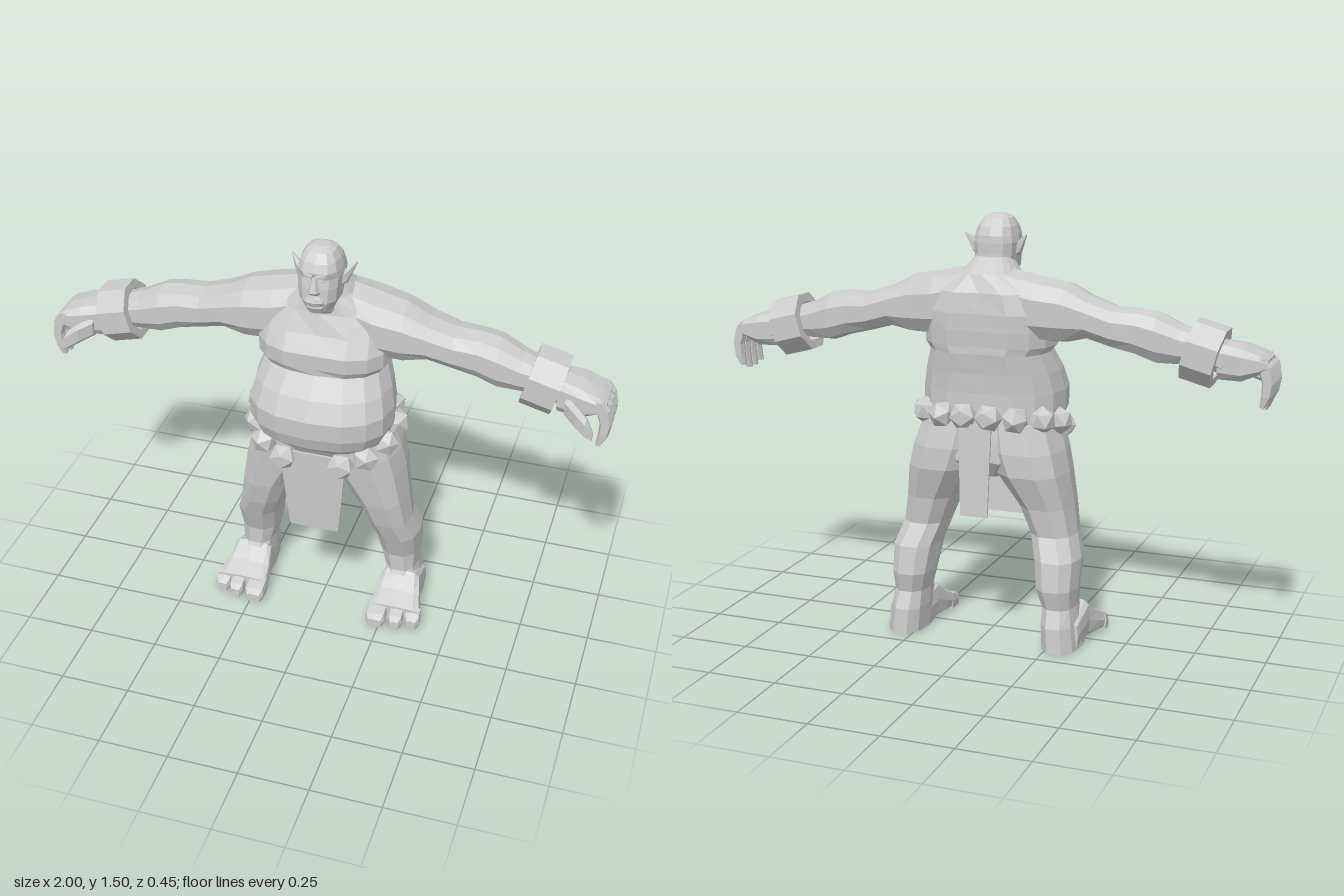
import * as THREE from 'three';

const skin = new THREE.MeshStandardMaterial({ color: 0xcccccc });
skin.name = 'plain grey';

// Loft through rings [t, aMin, aMax, bMin, bMax] along an axis.
// y: a = x, b = z;  x: a = y, b = z;  z: a = x, b = y.  power 1 = round, 0 = square.
function loft(axis, rings, n = 10, power = 0.8, rule = null) {
  const pos = [], idx = [];
  const place = (t, a, b) => {
    const p = axis === 'y' ? [a, t, b] : axis === 'x' ? [t, a, b] : [a, b, t];
    if (rule) rule(p);
    pos.push(...p);
  };
  const bend = (v) => (Math.abs(v) < 1e-6 ? 0 : Math.sign(v) * Math.abs(v) ** power);
  for (const [t, a0, a1, b0, b1] of rings) {
    for (let i = 0; i < n; i++) {
      const th = ((i + (n === 4 ? 0.5 : 0)) / n) * Math.PI * 2;
      place(t, (a0 + a1) / 2 + ((a1 - a0) / 2) * bend(Math.cos(th)),
        (b0 + b1) / 2 + ((b1 - b0) / 2) * bend(Math.sin(th)));
    }
  }
  const last = rings.length - 1;
  const flip = (axis === 'y') !== (rings[last][0] < rings[0][0]);
  const tri = (a, b, c) => (flip ? idx.push(a, c, b) : idx.push(a, b, c));
  for (let k = 0; k < last; k++) {
    for (let i = 0; i < n; i++) {
      const a = k * n + i, b = k * n + ((i + 1) % n);
      tri(a, b, b + n);
      tri(a, b + n, a + n);
    }
  }
  // flat end caps
  for (const k of [0, last]) {
    const [t, a0, a1, b0, b1] = rings[k];
    const c = pos.length / 3;
    place(t, (a0 + a1) / 2, (b0 + b1) / 2);
    for (let i = 0; i < n; i++) {
      const a = k * n + i, b = k * n + ((i + 1) % n);
      if (k) tri(a, b, c); else tri(b, a, c);
    }
  }
  const g = new THREE.BufferGeometry();
  g.setAttribute('position', new THREE.Float32BufferAttribute(pos, 3));
  g.setIndex(idx);
  return g;
}

// Separate faces for flat shading
function faceted(g) {
  const f = g.index ? g.toNonIndexed() : g.clone();
  f.computeVertexNormals();
  return f;
}

function mirrored(g) {
  const f = faceted(g);
  const p = f.attributes.position;
  const a = new THREE.Vector3(), b = new THREE.Vector3();
  for (let i = 0; i < p.count; i += 3) {
    a.fromBufferAttribute(p, i + 1);
    b.fromBufferAttribute(p, i + 2);
    p.setXYZ(i, -p.getX(i), p.getY(i), p.getZ(i));
    p.setXYZ(i + 1, -b.x, b.y, b.z);
    p.setXYZ(i + 2, -a.x, a.y, a.z);
  }
  f.computeVertexNormals();
  return f;
}

export function createModel() {
  const model = new THREE.Group();
  model.name = 'ogre';
  const add = (name, g) => {
    const m = new THREE.Mesh(faceted(g), skin);
    m.name = name;
    model.add(m);
  };
  const pair = (name, g) => {
    add(name + 'Left', g);
    const m = new THREE.Mesh(mirrored(g), skin);
    m.name = name + 'Right';
    model.add(m);
  };
  const even = (rows) => rows.map(([t, w, b0, b1]) => [t, -w, w, b0, b1]);

  // Torso: chest shelf over a round belly, with a spine groove
  add('torso', loft('y', even([
    [0.60, 0.08, -0.12, 0.06], [0.66, 0.17, -0.17, 0.10], [0.73, 0.215, -0.17, 0.145],
    [0.78, 0.235, -0.165, 0.205], [0.83, 0.255, -0.16, 0.222], [0.90, 0.255, -0.16, 0.226],
    [0.97, 0.24, -0.165, 0.192], [1.04, 0.215, -0.175, 0.14], [1.065, 0.235, -0.175, 0.152],
    [1.12, 0.235, -0.18, 0.155], [1.18, 0.23, -0.18, 0.118], [1.25, 0.19, -0.17, 0.085],
    [1.31, 0.10, -0.125, 0.075], [1.36, 0.06, -0.06, 0.06],
  ]), 16, 0.8, (p) => {
    if (Math.abs(p[0]) < 0.01 && p[2] < -0.1 && p[1] < 1.27) p[2] += 0.018;
    if (Math.abs(p[0]) < 0.01 && p[2] > 0.1 && p[1] > 1.06 && p[1] < 1.2) p[2] -= 0.01;
  }));

  // Head and face
  add('head', loft('y', even([
    [1.25, 0.07, -0.09, 0.08], [1.282, 0.055, -0.06, 0.12], [1.32, 0.07, -0.05, 0.138],
    [1.37, 0.075, -0.045, 0.135], [1.405, 0.078, -0.045, 0.128], [1.43, 0.074, -0.043, 0.138],
    [1.46, 0.066, -0.03, 0.125], [1.487, 0.05, -0.003, 0.1], [1.5, 0.025, 0.025, 0.07],
  ]), 12, 0.75));
  add('nose', loft('y', even([
    [1.355, 0.02, 0.12, 0.146], [1.367, 0.02, 0.12, 0.158], [1.415, 0.008, 0.12, 0.142],
  ]), 6));
  add('upperLip', loft('y', even([[1.335, 0.034, 0.1, 0.148], [1.347, 0.022, 0.1, 0.144]]), 8));
  add('lowerLip', loft('y', even([[1.31, 0.024, 0.1, 0.145], [1.328, 0.036, 0.1, 0.152]]), 8));
  add('chin', loft('y', even([[1.278, 0.024, 0.08, 0.13], [1.305, 0.034, 0.08, 0.145]]), 8));
  pair('brow', loft('x', [
    [0.006, 1.408, 1.426, 0.11, 0.147], [0.035, 1.413, 1.432, 0.1, 0.138], [0.06, 1.42, 1.438, 0.07, 0.108],
  ], 6));
  pair('eye', loft('x', [[0.016, 1.395, 1.402, 0.11, 0.132], [0.042, 1.396, 1.404, 0.09, 0.121]], 6));
  pair('ear', loft('x', [
    [0.065, 1.35, 1.4, 0.025, 0.07], [0.086, 1.362, 1.418, 0.015, 0.055], [0.112, 1.425, 1.434, 0.012, 0.022],
  ], 6));

  // Arms and hands
  pair('arm', loft('x', [
    [0.06, 1.10, 1.33, -0.14, 0.06], [0.18, 1.08, 1.305, -0.15, 0.08], [0.28, 1.08, 1.287, -0.13, 0.08],
    [0.36, 1.10, 1.245, -0.125, 0.07], [0.45, 1.075, 1.215, -0.12, 0.055], [0.53, 1.055, 1.215, -0.11, 0.05],
    [0.60, 1.03, 1.205, -0.11, 0.055], [0.68, 1.03, 1.165, -0.095, 0.05], [0.76, 1.03, 1.14, -0.085, 0.045],
    [0.83, 1.0, 1.125, -0.09, 0.06],
  ], 10, 0.8));
  pair('palm', loft('x', [
    [0.81, 0.99, 1.125, -0.085, 0.06], [0.89, 0.99, 1.112, -0.095, 0.08],
    [0.95, 1.02, 1.088, -0.09, 0.085], [0.975, 1.04, 1.07, -0.08, 0.08],
  ], 10, 0.6));
  [0.065, 0.022, -0.02, -0.06].forEach((z, i) => {
    const low = [0.91, 0.9, 0.9, 0.915][i], h = 0.018;
    pair('finger' + (i + 1), loft('y', [
      [low, 0.952, 0.972, z - h * 0.7, z + h * 0.7], [0.95, 0.957, 0.992, z - h, z + h],
      [0.995, 0.958, 1.0, z - h, z + h], [1.05, 0.94, 0.99, z - h, z + h], [1.078, 0.935, 0.965, z - h, z + h],
    ], 6, 0.6));
  });
  pair('thumb', loft('x', [
    [0.84, 1.0, 1.07, 0.03, 0.08], [0.88, 0.985, 1.06, 0.06, 0.12],
    [0.92, 0.965, 1.035, 0.09, 0.14], [0.945, 0.96, 0.99, 0.11, 0.135],
  ], 6, 0.7));

  // Faceted wrist bands with an open rim
  const profile = [[0.075, -0.055], [0.108, -0.055], [0.108, 0.055], [0.075, 0.055], [0.075, -0.055]];
  const band = new THREE.LatheGeometry(profile.map(([r, y]) => new THREE.Vector2(r, y)), 8, Math.PI / 8);
  band.rotateZ(-Math.PI / 2 - 0.26).translate(0.757, 1.075, -0.02);
  pair('wristBand', band);

  // Legs
  pair('leg', loft('y', [
    [0.0, 0.225, 0.36, -0.195, 0.06], [0.09, 0.22, 0.35, -0.188, 0.045], [0.15, 0.22, 0.34, -0.162, 0.012],
    [0.22, 0.2, 0.345, -0.18, 0.015], [0.32, 0.185, 0.348, -0.165, 0.055], [0.4, 0.16, 0.322, -0.125, 0.085],
    [0.5, 0.12, 0.308, -0.14, 0.11], [0.62, 0.04, 0.292, -0.18, 0.13], [0.7, 0.01, 0.275, -0.18, 0.14],
    [0.8, 0.0, 0.24, -0.16, 0.14],
  ], 10, 0.8));
  pair('foot', loft('z', [
    [-0.12, 0.23, 0.36, 0, 0.1], [0.0, 0.215, 0.365, 0, 0.15],
    [0.06, 0.205, 0.382, 0, 0.1], [0.12, 0.2, 0.397, 0, 0.07],
  ], 12, 0.5));
  [[0.2, 0.272, 0.173], [0.283, 0.336, 0.165], [0.34, 0.397, 0.145]].forEach(([x0, x1, tip], i) => {
    pair('toe' + (i + 1), loft('z', [
      [0.1, x0, x1, 0, 0.07], [tip - 0.015, x0, x1, 0, 0.052], [tip, x0 + 0.01, x1 - 0.01, 0, 0.035],
    ], 8, 0.4));
  });

  // Belt of rough beads, low in front and high behind
  [[0.105, 0.705, 0.17], [0.185, 0.735, 0.135], [0.235, 0.765, 0.065], [0.25, 0.8, -0.02],
    [0.215, 0.815, -0.1], [0.135, 0.82, -0.155], [0.046, 0.825, -0.178]].forEach(([x, y, z], i) => {
    const bead = new THREE.IcosahedronGeometry(0.05, 0);
    bead.rotateX(i * 1.3).rotateY(i * 0.8).translate(x, y, z);
    pair('bead' + (i + 1), bead);
  });

  // Hanging cloths
  add('frontCloth', loft('y', even([
    [0.395, 0.09, 0.141, 0.149], [0.55, 0.105, 0.15, 0.158], [0.73, 0.12, 0.16, 0.168],
  ]), 4, 0));
  add('backCloth', loft('y', even([[0.475, 0.05, -0.203, -0.196], [0.8, 0.06, -0.19, -0.182]]), 4, 0));
  return model;
}
